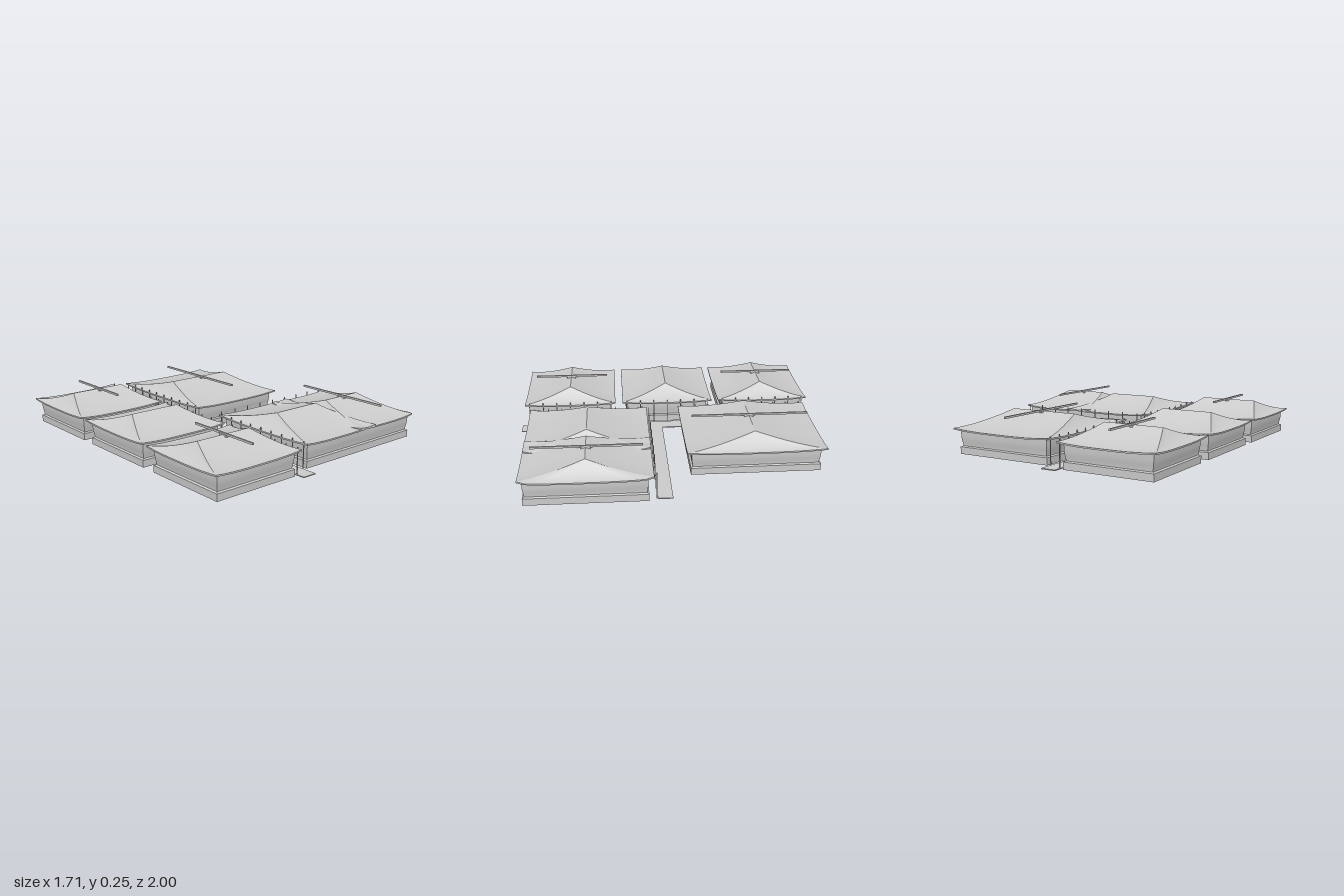
import * as THREE from 'three';
import { mergeGeometries } from 'three/addons/utils/BufferGeometryUtils.js';

const lerp = THREE.MathUtils.lerp;

// Smooth grid patch; point(u, v) returns [x, y, z] with u, v in 0..1
function patch(point, nu, nv) {
  const pos = [], index = [];
  for (let j = 0; j <= nv; j++)
    for (let i = 0; i <= nu; i++) pos.push(...point(i / nu, j / nv));
  for (let j = 0; j < nv; j++)
    for (let i = 0; i < nu; i++) {
      const a = j * (nu + 1) + i, b = a + 1, c = a + nu + 1, d = c + 1;
      index.push(a, b, d, a, d, c);
    }
  const g = new THREE.BufferGeometry();
  g.setAttribute('position', new THREE.Float32BufferAttribute(pos, 3));
  g.setIndex(index);
  g.computeVertexNormals();
  return g;
}

// Corners of a plan rectangle: front left, front right, back right, back left
const corners = (x0, x1, z0, z1) => [[x0, z1], [x1, z1], [x1, z0], [x0, z0]];

export function createModel() {
  const model = new THREE.Group();
  const grey = new THREE.MeshStandardMaterial({ color: 0xcccccc, side: THREE.DoubleSide });
  grey.name = 'pale grey';

  const add = (name, geometry, parent = model) => {
    const m = new THREE.Mesh(geometry, grey);
    m.name = name;
    parent.add(m);
    return m;
  };
  const box = (name, x0, x1, y0, y1, z0, z1, parent) =>
    add(name, new THREE.BoxGeometry(x1 - x0, y1 - y0, z1 - z0), parent)
      .position.set((x0 + x1) / 2, (y0 + y1) / 2, (z0 + z1) / 2);

  // Walls: plinth below, gently bowed wall above; profile is [inset, y]
  function walls(x0, x1, z0, z1, parent) {
    const runs = [
      [[0, 0], [0, 0.044]],
      [[0, 0.044], [0.012, 0.05]],
      [[0.012, 0.05], [0.011, 0.065], [0.007, 0.085], [0.004, 0.11], [0.004, 0.15]],
    ];
    const parts = [];
    for (const run of runs)
      for (let s = 0; s < 4; s++)
        parts.push(patch((u, v) => {
          const [d, y] = run[Math.round(v * (run.length - 1))];
          const c = corners(x0 + d, x1 - d, z0 + d, z1 - d);
          const a = c[s], b = c[(s + 1) % 4];
          return [lerp(a[0], b[0], u), y, lerp(a[1], b[1], u)];
        }, 1, run.length - 1));
    add('walls', mergeGeometries(parts), parent);
    box('floor', x0, x1, 0, 0.004, z0, z1, parent);
  }

  // Hipped roof with hollow slopes, lifted corners, fascia and soffit
  function roof(h, parent) {
    const { x0, x1, z0, z1, r0, r1, rz, top } = h;
    const cutL = h.cutL || 0, cutR = h.cutR || 0;
    const eave = corners(x0, x1, z0, z1).map(([x, z]) => [x === x0 ? x + cutL : x - cutR, z]);
    const ridge = [[r0, rz], [r1, rz], [r1, rz], [r0, rz]];
    const inner = corners(x0 + 0.035, x1 - 0.035, z0 + 0.035, z1 - 0.035);
    const lift = u => 0.15 + 0.012 * Math.pow(Math.abs(2 * u - 1), 3);
    const parts = [];
    for (let s = 0; s < 4; s++) {
      const n = (s + 1) % 4;
      const cut = s === 1 ? cutR : s === 3 ? -cutL : 0;
      // Plan point on the eave; cut corners reach the full width just inside the ends
      const edge = u => [
        lerp(eave[s][0], eave[n][0], u) + cut * Math.min(1, Math.min(u, 1 - u) / 0.0625),
        lerp(eave[s][1], eave[n][1], u)];
      const side = (c, u) => [lerp(c[s][0], c[n][0], u), lerp(c[s][1], c[n][1], u)];
      parts.push(
        patch((u, t) => {
          const e = edge(u), r = side(ridge, u);
          return [lerp(e[0], r[0], t), lerp(lift(u), top, Math.pow(t, 1.6)), lerp(e[1], r[1], t)];
        }, 16, 12),
        patch((u, t) => {
          const e = edge(u);
          return [e[0], lift(u) - 0.009 * (1 - t), e[1]];
        }, 16, 1),
        patch((u, t) => {
          const i = side(inner, u), e = edge(u);
          return [lerp(i[0], e[0], t), lerp(0.144, lift(u) - 0.009, t), lerp(i[1], e[1], t)];
        }, 16, 1));
    }
    add('roof', mergeGeometries(parts), parent);
  }

  const halls = [
    { name: 'backRightHall', x0: -0.86, x1: -0.235, z0: -0.98, z1: -0.36, r0: -0.735, r1: -0.355, rz: -0.67, top: 0.24, beam: [-0.545, -0.92, -0.42] },
    { name: 'middleRightHall', x0: -0.86, x1: -0.235, z0: -0.315, z1: 0.305, r0: -0.715, r1: -0.375, rz: 0, top: 0.24 },
    { name: 'frontRightHall', x0: -0.86, x1: -0.235, z0: 0.355, z1: 0.975, r0: -0.735, r1: -0.355, rz: 0.665, top: 0.24, beam: [-0.545, 0.41, 0.91] },
    { name: 'backLeftHall', x0: -0.145, x1: 0.56, z0: -0.935, z1: -0.07, r0: -0.03, r1: 0.44, rz: -0.5, top: 0.24, beam: [0.205, -0.88, -0.13] },
    { name: 'frontCentreHall', x0: -0.145, x1: 0.475, z0: 0.145, z1: 0.93, r0: -0.01, r1: 0.335, rz: 0.54, top: 0.237, cutR: 0.015 },
    { name: 'frontLeftHall', x0: 0.31, x1: 0.85, z0: 0.145, z1: 0.93, r0: 0.43, r1: 0.73, rz: 0.54, top: 0.24, cutL: 0.015, cutR: 0.02, beam: [0.58, 0.2, 0.87] },
  ];
  for (const h of halls) {
    const hall = new THREE.Group();
    hall.name = h.name;
    model.add(hall);
    walls(h.x0 + 0.027, h.x1 - 0.025, h.z0 + 0.03, h.z1 - 0.025, hall);
    roof(h, hall);
    // Long beam crossing the ridge on a small saddle
    if (h.beam) {
      const [x, a, b] = h.beam;
      box('ridgeBeam', x - 0.006, x + 0.006, 0.239, 0.251, a, b, hall);
      box('beamSaddle', x - 0.009, x + 0.009, 0.228, 0.243, h.rz - 0.03, h.rz + 0.03, hall);
    }
  }

  // Streets
  box('mainStreet', -0.24, -0.145, 0, 0.006, -1, 1);
  box('sideStreet', -0.145, 0.81, 0, 0.006, 0.035, 0.125);

  // Slim posts along the street fronts
  const post = (x, z) => box('streetPost', x - 0.0025, x + 0.0025, 0, 0.17, z - 0.0025, z + 0.0025);
  for (const h of halls.slice(0, 5)) {
    const x = h.x0 < -0.5 ? -0.238 : -0.143;
    const n = Math.round((h.z1 - h.z0) / 0.1);
    for (let i = 0; i <= n; i++) post(x, lerp(h.z0 + 0.03, h.z1 - 0.03, i / n));
  }
  for (let i = 0; i <= 8; i++) post(lerp(-0.11, 0.8, i / 8), 0.13);

  return model;
}
